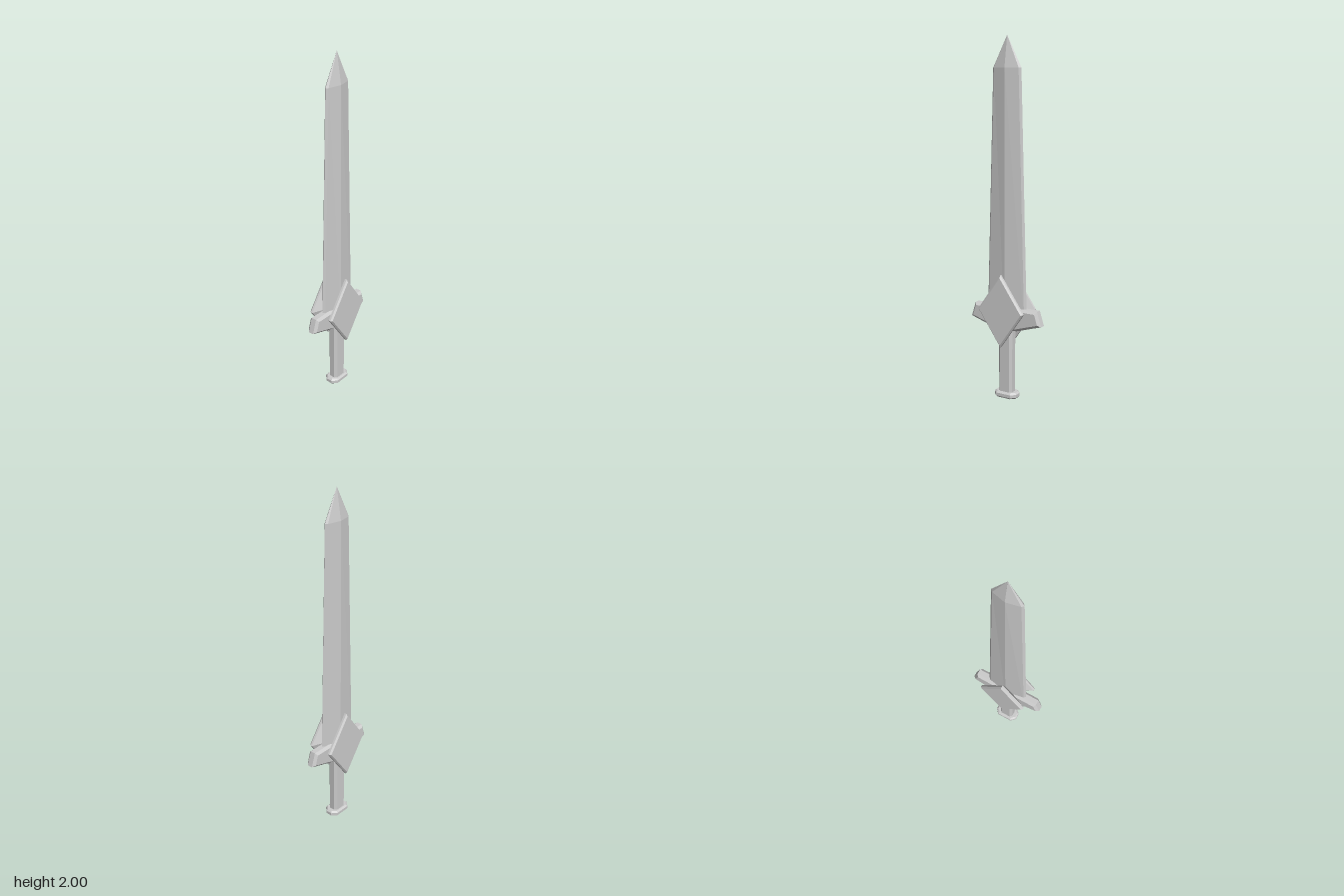
import * as THREE from 'three';

const material = new THREE.MeshStandardMaterial({ color: 0xcccccc, flatShading: true });

// Skins a stack of equal-sized rings along y and caps both ends.
// Each ring is { y, pts: [[x, z], ...] }, running from +x towards +z.
function loft(rings) {
  const pos = [];
  const rows = rings.map(({ y, pts }) => pts.map(([x, z]) => [x, y, z]));
  const n = rows[0].length;
  const tri = (a, b, c) => pos.push(...a, ...b, ...c);
  for (let r = 0; r < rows.length - 1; r++) {
    for (let i = 0; i < n; i++) {
      const j = (i + 1) % n;
      tri(rows[r][i], rows[r + 1][i], rows[r + 1][j]);
      tri(rows[r][i], rows[r + 1][j], rows[r][j]);
    }
  }
  const last = rows[rows.length - 1];
  for (let i = 1; i < n - 1; i++) {
    tri(rows[0][0], rows[0][i], rows[0][i + 1]);
    tri(last[0], last[i + 1], last[i]);
  }
  const geo = new THREE.BufferGeometry();
  geo.setAttribute('position', new THREE.Float32BufferAttribute(pos, 3));
  geo.computeVertexNormals();
  return geo;
}

// Cross-sections
const bladeRing = (y, w, t, e) => ({
  y,
  pts: [[w, 0], [w - e, e], [0, t], [-w + e, e], [-w, 0], [-w + e, -e], [0, -t], [w - e, -e]],
});
const chamferRing = (y, w, d, c) => ({
  y,
  pts: [[w, d - c], [w - c, d], [-w + c, d], [-w, d - c],
    [-w, -d + c], [-w + c, -d], [w - c, -d], [w, -d + c]],
});
const diamondRing = (y, w, h) => ({ y, pts: [[w, 0], [0, h], [-w, 0], [0, -h]] });

export function createModel() {
  const group = new THREE.Group();
  const add = (name, geometry) => {
    const mesh = new THREE.Mesh(geometry, material);
    mesh.name = name;
    group.add(mesh);
    return mesh;
  };

  // Tapering blade with a central ridge, ground edges and a pointed tip
  add('blade', loft([
    bladeRing(0.42, 0.128, 0.03, 0.011),
    bladeRing(1.83, 0.088, 0.028, 0.011),
    bladeRing(2, 0.0005, 0.0005, 0.0002),
  ]));

  // Crossguard with swept, bevelled arms
  const half = [[0.2, 0.525], [0.226, 0.443], [0.07, 0.395]];
  const outline = [...half, ...half.map(([x, y]) => [-x, y]).reverse()];
  const bevel = 0.014;
  const depth = 0.03;
  const guard = new THREE.ExtrudeGeometry(
    new THREE.Shape(outline.map(([x, y]) => new THREE.Vector2(x, y))),
    {
      depth: 2 * (depth - bevel), bevelEnabled: true, bevelSegments: 1,
      bevelSize: bevel, bevelThickness: bevel, bevelOffset: -bevel,
    });
  guard.translate(0, 0, bevel - depth);
  add('crossguard', guard);

  // Diamond plates on both faces, each narrowing inwards to the blade
  const plate = loft([
    diamondRing(0.025, 0.06, 0.085),
    diamondRing(0.06, 0.144, 0.205),
    diamondRing(0.072, 0.144, 0.205),
    diamondRing(0.081, 0.134, 0.191),
  ]);
  for (const side of [1, -1]) {
    const mesh = add(side > 0 ? 'frontPlate' : 'backPlate', plate);
    mesh.rotation.x = side * Math.PI / 2;
    mesh.position.y = 0.51;
  }

  // Grip
  add('grip', loft([
    chamferRing(0.02, 0.043, 0.03, 0.014),
    chamferRing(0.45, 0.043, 0.03, 0.014),
  ]));

  // Flat bevelled pommel
  add('pommel', loft([
    chamferRing(0, 0.062, 0.036, 0.022),
    chamferRing(0.009, 0.071, 0.045, 0.026),
    chamferRing(0.026, 0.071, 0.045, 0.026),
    chamferRing(0.035, 0.062, 0.036, 0.022),
  ]));

  return group;
}
